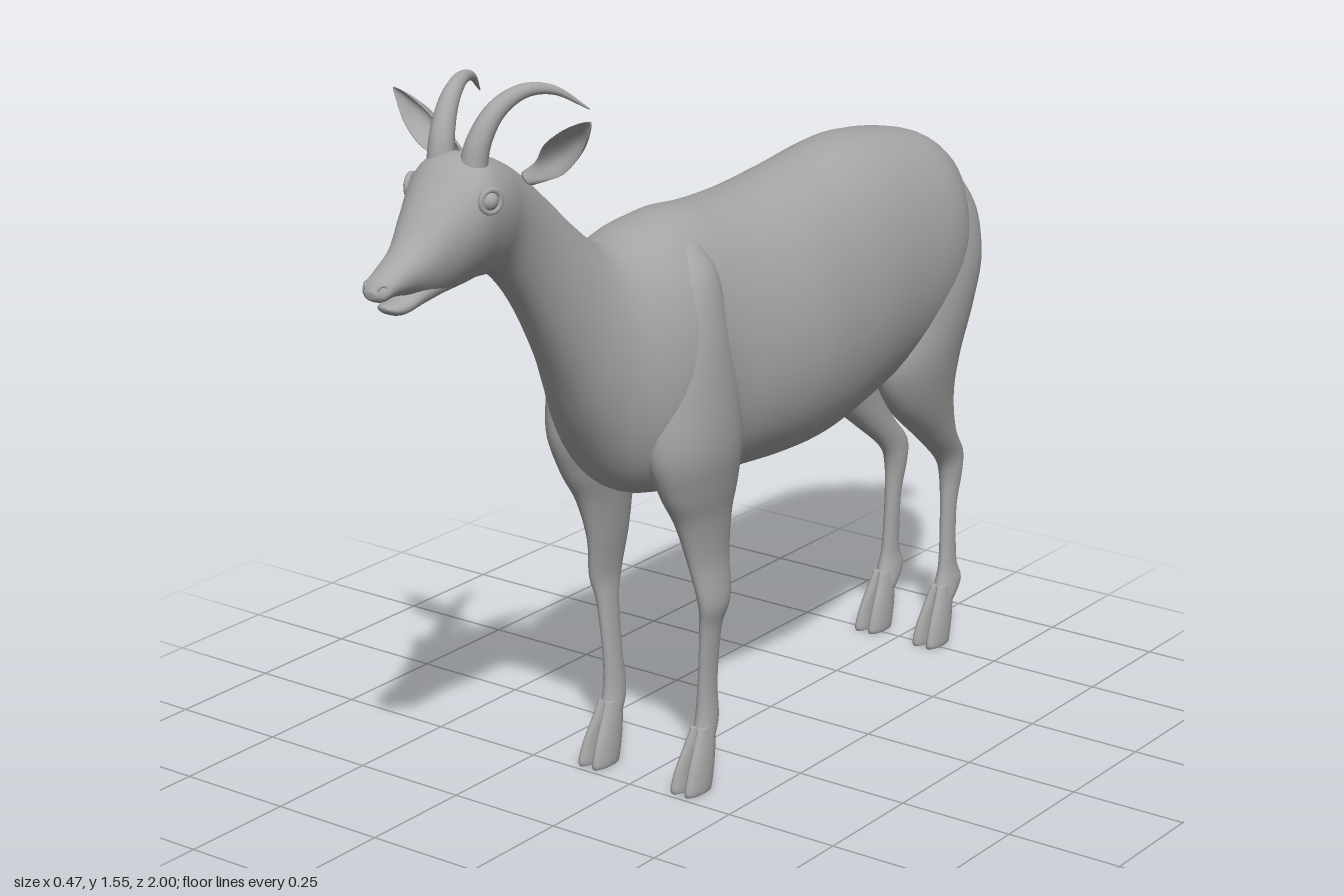
import * as THREE from 'three';

const hide = new THREE.MeshStandardMaterial({ color: 0xa6a6a6 });
hide.name = 'greyHide';

// Catmull-Rom blend through rows of numbers
function sample(rows, t) {
  const f = t * (rows.length - 1);
  const i = Math.min(Math.floor(f), rows.length - 2), u = f - i;
  const at = (k) => rows[Math.max(0, Math.min(rows.length - 1, k))];
  return rows[0].map((_, k) => {
    const a = at(i - 1)[k], b = at(i)[k], c = at(i + 1)[k], d = at(i + 2)[k];
    return b + 0.5 * u * (c - a + u * (2 * a - 5 * b + 4 * c - d + u * (3 * (b - c) + d - a)));
  });
}

// Closed smooth skin over cross-sections; ring(row, cos, sin) gives a point [x, y, z]
function loft(rows, ring, sides = 32, steps = 6) {
  const n = (rows.length - 1) * steps, pos = [], idx = [];
  for (let i = 0; i <= n; i++) {
    const row = sample(rows, i / n);
    for (let j = 0; j < sides; j++) {
      const a = (j / sides) * Math.PI * 2;
      pos.push(...ring(row, Math.cos(a), Math.sin(a)));
    }
  }
  for (let i = 0; i < n; i++) for (let j = 0; j < sides; j++) {
    const a = i * sides + j, b = i * sides + (j + 1) % sides;
    idx.push(a, b, a + sides, b, b + sides, a + sides);
  }
  // End caps
  for (const end of [0, n]) {
    const c = [0, 0, 0], base = end * sides, centre = pos.length / 3;
    for (let j = 0; j < sides; j++) for (let k = 0; k < 3; k++) c[k] += pos[(base + j) * 3 + k] / sides;
    pos.push(...c);
    for (let j = 0; j < sides; j++) {
      const a = base + j, b = base + (j + 1) % sides;
      if (end) idx.push(a, b, centre); else idx.push(b, a, centre);
    }
  }
  // Turn the faces outward where the volume comes out negative
  let volume = 0;
  const p = (i) => new THREE.Vector3().fromArray(pos, i * 3);
  for (let i = 0; i < idx.length; i += 3) volume += p(idx[i]).dot(p(idx[i + 1]).cross(p(idx[i + 2])));
  if (volume < 0) idx.reverse();
  const g = new THREE.BufferGeometry();
  g.setAttribute('position', new THREE.Float32BufferAttribute(pos, 3));
  g.setIndex(idx);
  g.computeVertexNormals();
  return g;
}

const power = (v, e) => Math.sign(v) * Math.abs(v) ** e;

// Row: top z, top y, bottom z, bottom y, half width, extra width toward the top
const spineRing = ([zt, yt, zb, yb, w, egg], c, s) => {
  const h = (1 + s) / 2;
  return [w * power(c, 0.9) * (1 + egg * s), yb + (yt - yb) * h, zb + (zt - zb) * h];
};

// Row: y, front z, back z, inner x, outer x
const legRing = (side) => ([y, zf, zb, xi, xo], c, s) =>
  [side * ((xi + xo) / 2 + c * (xo - xi) / 2), y, (zf + zb) / 2 + s * (zf - zb) / 2];

const BODY = [
  [-0.905, 1.05, -0.9, 1.0, 0.015, 0], [-0.88, 1.08, -0.865, 0.91, 0.06, 0],
  [-0.8, 1.14, -0.8, 0.78, 0.13, 0], [-0.7, 1.185, -0.7, 0.7, 0.178, 0],
  [-0.5, 1.215, -0.52, 0.645, 0.19, -0.05], [-0.3, 1.195, -0.3, 0.605, 0.205, -0.1],
  [-0.15, 1.18, -0.15, 0.605, 0.213, -0.1], [0, 1.18, 0, 0.615, 0.2, -0.1],
  [0.12, 1.19, 0.12, 0.62, 0.182, -0.05], [0.22, 1.18, 0.24, 0.63, 0.18, 0],
  [0.3, 1.165, 0.32, 0.67, 0.16, 0], [0.37, 1.175, 0.4, 0.79, 0.115, 0],
  [0.44, 1.225, 0.475, 0.93, 0.085, 0], [0.53, 1.305, 0.57, 1.08, 0.068, 0],
  [0.62, 1.375, 0.655, 1.17, 0.072, 0.1], [0.7, 1.415, 0.72, 1.187, 0.09, 0.2],
  [0.77, 1.425, 0.78, 1.182, 0.092, 0.25], [0.84, 1.365, 0.85, 1.178, 0.066, 0.2],
  [0.9, 1.295, 0.905, 1.195, 0.045, 0.05], [0.96, 1.255, 0.955, 1.203, 0.034, 0],
  [0.985, 1.24, 0.985, 1.2, 0.03, 0], [1.0, 1.222, 0.998, 1.208, 0.012, 0],
];
const JAW = [
  [0.8, 1.24, 0.8, 1.183, 0.04, 0], [0.88, 1.22, 0.88, 1.172, 0.036, 0],
  [0.925, 1.197, 0.925, 1.164, 0.03, 0], [0.955, 1.19, 0.95, 1.168, 0.024, 0],
  [0.967, 1.186, 0.965, 1.178, 0.008, 0],
];
const TAIL = [
  [-0.87, 1.085, -0.87, 1.02, 0.035, 0], [-0.92, 1.05, -0.905, 1.01, 0.024, 0],
  [-0.965, 1.005, -0.925, 0.985, 0.021, 0], [-0.995, 0.96, -0.945, 0.945, 0.027, 0],
  [-0.995, 0.925, -0.955, 0.918, 0.024, 0], [-0.977, 0.904, -0.966, 0.904, 0.008, 0],
];
const FRONT_LEG = [
  [1.14, 0.2, 0.15, 0.08, 0.11], [1.08, 0.25, 0.12, 0.06, 0.155], [0.97, 0.295, 0.1, 0.05, 0.182],
  [0.85, 0.32, 0.075, 0.04, 0.194], [0.74, 0.325, 0.065, 0.05, 0.195], [0.65, 0.29, 0.07, 0.07, 0.178],
  [0.58, 0.247, 0.083, 0.085, 0.162], [0.49, 0.213, 0.09, 0.1, 0.153], [0.4, 0.193, 0.1, 0.115, 0.16],
  [0.34, 0.18, 0.118, 0.113, 0.147], [0.22, 0.173, 0.119, 0.105, 0.136],
  [0.14, 0.177, 0.114, 0.098, 0.138], [0.09, 0.195, 0.135, 0.096, 0.14], [0.06, 0.195, 0.155, 0.105, 0.13],
];
const HIND_LEG = [
  [1.08, -0.68, -0.8, 0.05, 0.12], [1.0, -0.6, -0.85, 0.03, 0.155], [0.9, -0.56, -0.855, 0.015, 0.178],
  [0.8, -0.53, -0.82, 0.015, 0.18], [0.7, -0.51, -0.785, 0.03, 0.168], [0.6, -0.565, -0.78, 0.045, 0.145],
  [0.5, -0.69, -0.815, 0.05, 0.118], [0.43, -0.775, -0.87, 0.05, 0.098], [0.38, -0.803, -0.868, 0.05, 0.095],
  [0.3, -0.805, -0.85, 0.057, 0.09], [0.18, -0.798, -0.852, 0.06, 0.092],
  [0.13, -0.785, -0.868, 0.054, 0.1], [0.09, -0.77, -0.835, 0.052, 0.1], [0.06, -0.77, -0.81, 0.06, 0.09],
];

export function createModel() {
  const goat = new THREE.Group();
  goat.name = 'goat';
  const add = (name, geometry) => {
    const mesh = new THREE.Mesh(geometry, hide);
    mesh.name = name;
    goat.add(mesh);
    return mesh;
  };

  add('bodyNeckAndHead', loft(BODY, spineRing, 48));
  add('lowerJaw', loft(JAW, spineRing, 24));
  add('tail', loft(TAIL, spineRing, 20));

  for (const [label, side] of [['left', 1], ['right', -1]]) {
    add(label + 'FrontLeg', loft(FRONT_LEG, legRing(side)));
    add(label + 'HindLeg', loft(HIND_LEG, legRing(side)));

    // Cloven hooves: two toes per foot, splayed slightly apart
    for (const [foot, x, z] of [['Front', 0.118, 0.24], ['Hind', 0.077, -0.72]]) {
      for (const toe of [-1, 1]) {
        const rows = [[0.13, -0.055, -0.1, 0.008, 0.01], [0.1, -0.04, -0.105, 0.011, 0.013],
          [0.05, -0.013, -0.095, 0.016, 0.0145], [0.012, 0, -0.085, 0.0175, 0.016], [0, -0.002, -0.083, 0.017, 0.015]]
          .map(([y, f, b, c, r]) => [y, z + f, z + b, x + toe * c - r, x + toe * c + r]);
        add(label + foot + 'Hoof', loft(rows, legRing(side), 16));
      }
    }

    // Cupped ear. Row: x, y, z, half width, cup depth, half thickness
    const ear = [[0.07, 1.365, 0.635, 0.016, 0, 0.014], [0.105, 1.385, 0.625, 0.022, 0.012, 0.008],
      [0.145, 1.415, 0.615, 0.033, 0.038, 0.006], [0.185, 1.45, 0.62, 0.029, 0.036, 0.005],
      [0.215, 1.48, 0.64, 0.015, 0.015, 0.004], [0.232, 1.497, 0.655, 0.002, 0, 0.002]];
    add(label + 'Ear', loft(ear, ([x, y, z, w, cup, t], c, s) =>
      [side * (x - 0.68 * w * c), y + 0.73 * w * c, z + cup * c * c + t * s], 24));

    // Backswept horn, tapered toward the tip
    const path = new THREE.CatmullRomCurve3([[0.037, 1.39, 0.755], [0.043, 1.45, 0.742], [0.056, 1.505, 0.705],
      [0.075, 1.532, 0.65], [0.098, 1.525, 0.59], [0.13, 1.482, 0.527]]
      .map(([x, y, z]) => new THREE.Vector3(side * x, y, z)));
    const horn = new THREE.TubeGeometry(path, 40, 0.027, 16);
    const p = horn.attributes.position, v = new THREE.Vector3();
    for (let i = 0; i < p.count; i++) {
      const t = Math.floor(i / 17) / 40, c = path.getPointAt(t);
      v.fromBufferAttribute(p, i).sub(c).multiplyScalar(1 - 0.95 * t ** 1.2).add(c);
      p.setXYZ(i, v.x, v.y, v.z);
    }
    add(label + 'Horn', horn);

    // Eye with its raised lid
    const eye = add(label + 'Eye', new THREE.SphereGeometry(0.019, 20, 14));
    eye.position.set(side * 0.088, 1.355, 0.772);
    const lid = add(label + 'Eyelid', new THREE.TorusGeometry(0.021, 0.006, 10, 24));
    lid.position.set(side * 0.094, 1.355, 0.772);
    lid.rotation.y = side * 1.25;

    // Nostril rim
    const nostril = add(label + 'Nostril', new THREE.TorusGeometry(0.008, 0.003, 8, 16));
    nostril.position.set(side * 0.021, 1.226, 0.987);
    nostril.rotation.y = side * 0.8;
  }
  return goat;
}
